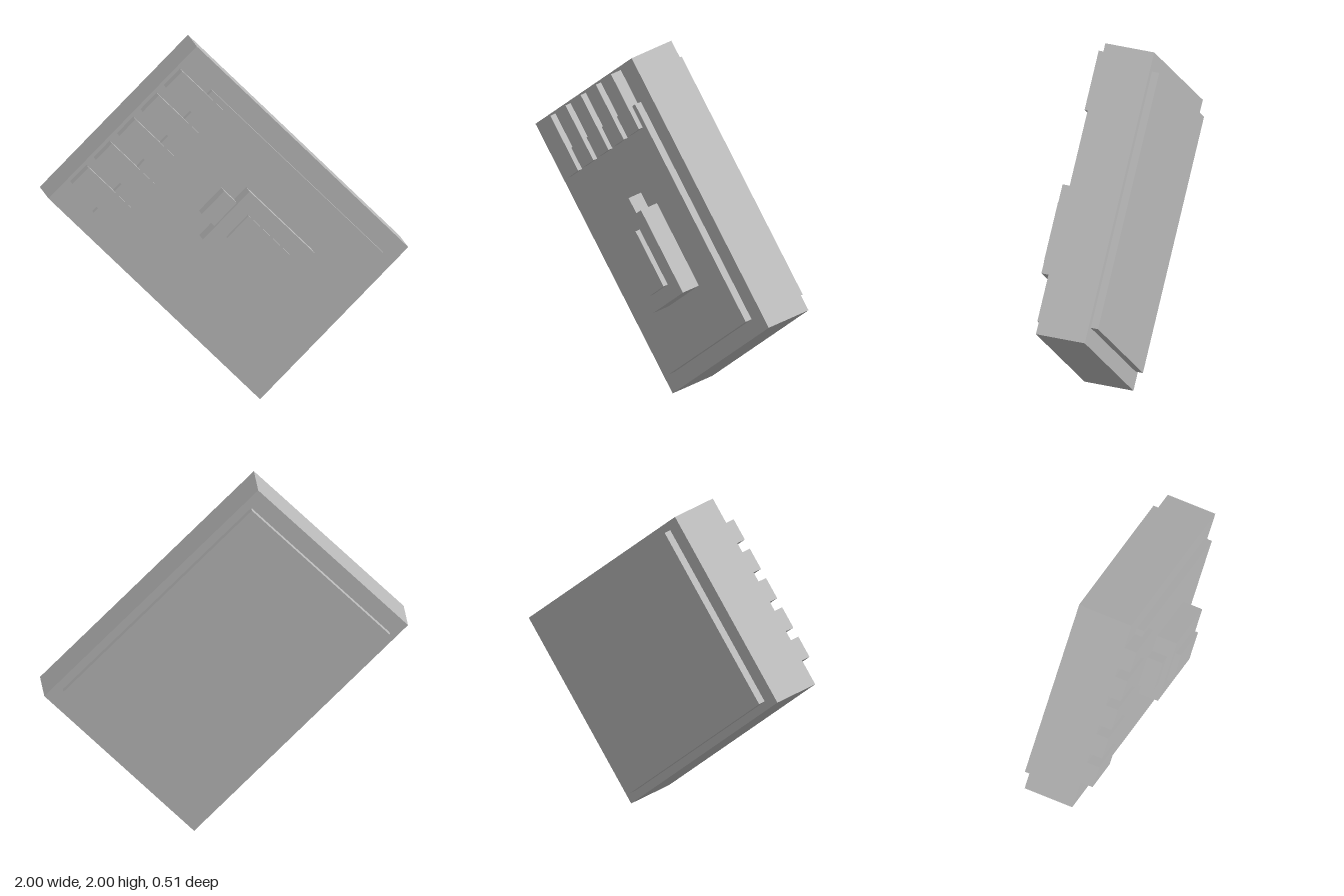
import * as THREE from 'three';

export function createModel() {
  const model = new THREE.Group();
  const grey = new THREE.MeshStandardMaterial({ color: 0xb8b8b8 });
  grey.name = 'plainGrey';

  // The whole cartridge is built upright, then tilted 45 degrees
  const cartridge = new THREE.Group();
  cartridge.name = 'cartridge';
  cartridge.position.y = 1.005;
  cartridge.rotation.z = Math.PI / 4;
  model.add(cartridge);

  // Block centred on (x, y), running from z0 (back) to z1 (front)
  function block(name, w, h, x, y, z0, z1) {
    const mesh = new THREE.Mesh(new THREE.BoxGeometry(w, h, z1 - z0), grey);
    mesh.name = name;
    mesh.position.set(x, y, (z0 + z1) / 2);
    cartridge.add(mesh);
  }

  block('body', 1.165, 1.663, 0, 0, -0.213, 0.07);
  block('backPanel', 1.075, 1.465, 0, 0, -0.255, -0.213);
  block('frontPanel', 0.934, 1.342, 0, -0.068, 0.07, 0.112);

  // Row of contacts along the upper edge
  for (let i = -2; i <= 2; i++) {
    block('contact', 0.127, 0.339, i * 0.184, 0.642, 0.07, 0.14);
  }

  // Raised button housing with its cap and a small tab above
  block('housing', 0.368, 0.509, 0.028, -0.172, 0.112, 0.226);
  block('cap', 0.17, 0.34, 0.028, -0.172, 0.226, 0.256);
  block('tab', 0.177, 0.099, 0.028, 0.131, 0.112, 0.2);

  return model;
}
